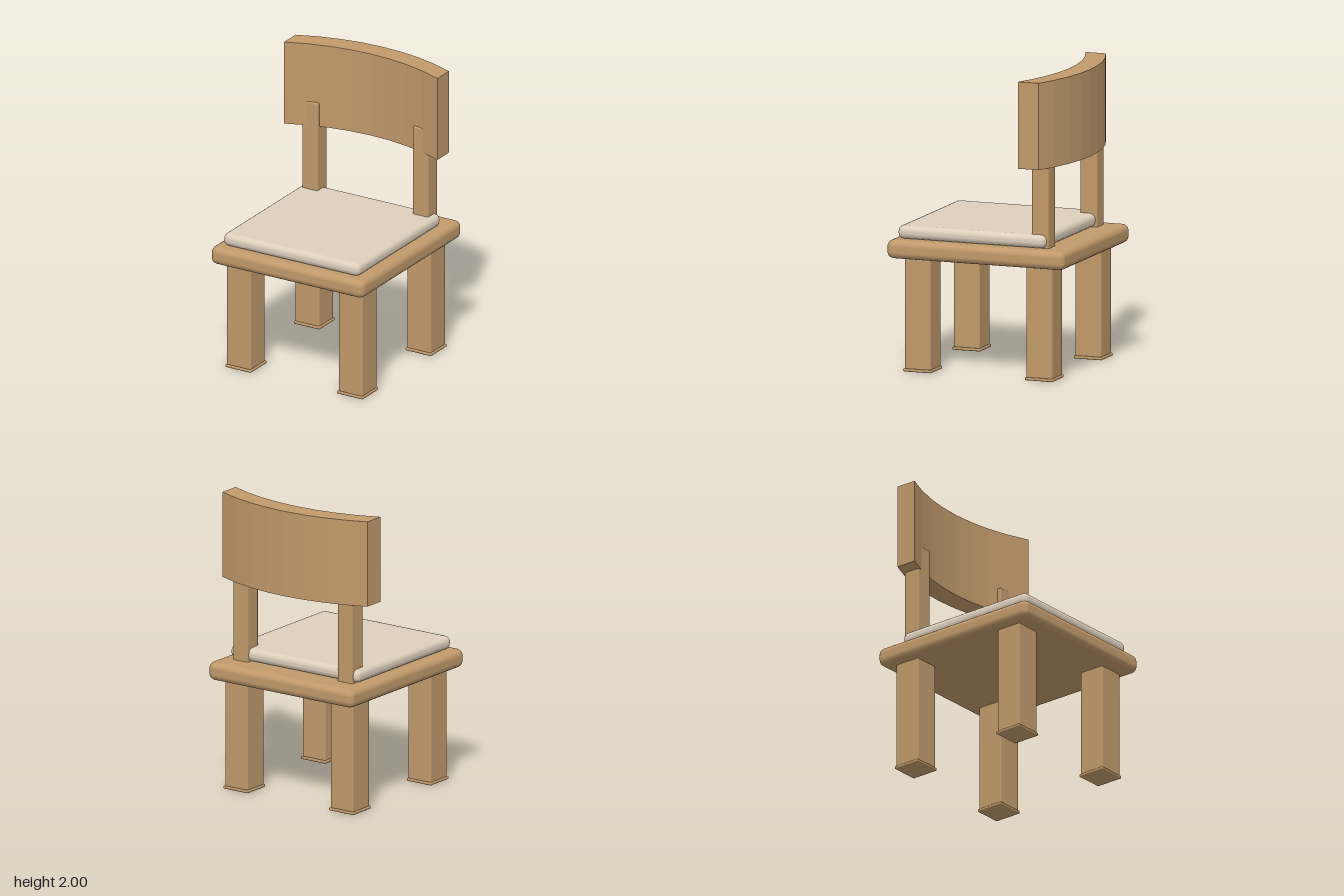
import * as THREE from 'three';
import { RoundedBoxGeometry } from 'three/addons/geometries/RoundedBoxGeometry.js';

export function createModel() {
  const chair = new THREE.Group();
  chair.name = 'chair';

  const wood = new THREE.MeshStandardMaterial({ color: 0xc19a6b });
  wood.name = 'wood';
  const fabric = new THREE.MeshStandardMaterial({ color: 0xddd0bc });
  fabric.name = 'cushion fabric';

  // Rounded block given by its size, centre and edge radius
  function block(name, material, size, centre, radius) {
    const mesh = new THREE.Mesh(new RoundedBoxGeometry(...size, 2, radius), material);
    mesh.name = name;
    mesh.position.set(...centre);
    chair.add(mesh);
  }

  // Seat slab and cushion
  block('seat', wood, [1.18, 0.125, 1.26], [0, 0.8175, 0], 0.045);
  block('cushion', fabric, [1.05, 0.09, 1.045], [0, 0.925, 0.0525], 0.04);

  // Legs with foot pads, and back posts
  for (const [side, x] of [['left', 0.43], ['right', -0.43]]) {
    for (const [end, z] of [['Front', 0.43], ['Back', -0.43]]) {
      block(side + end + 'Leg', wood, [0.185, 0.74, 0.185], [x, 0.385, z], 0.01);
      block(side + end + 'Foot', wood, [0.2, 0.02, 0.2], [x, 0.01, z], 0.008);
    }
    block(side + 'BackPost', wood, [0.12, 0.73, 0.12], [x * 0.99, 1.225, -0.4225], 0.01);
  }

  // Curved backrest: a faceted arc band, extruded upwards
  const halfWidth = 0.59, steps = 8, radius = 1.455;
  const bow = x => radius - Math.sqrt(radius * radius - x * x);
  const outer = [], inner = [];
  for (let i = 0; i <= steps; i++) {
    const x = halfWidth * (2 * i / steps - 1);
    outer.push(new THREE.Vector2(x, 0.58 - bow(x)));
    inner.push(new THREE.Vector2(x, 0.435 - bow(x)));
  }
  const band = new THREE.Shape([...inner, ...outer.reverse()]);
  const geometry = new THREE.ExtrudeGeometry(band, { depth: 0.58, bevelEnabled: false });
  geometry.rotateX(-Math.PI / 2);
  const backrest = new THREE.Mesh(geometry, wood);
  backrest.name = 'backrest';
  backrest.position.y = 1.42;
  chair.add(backrest);

  return chair;
}
